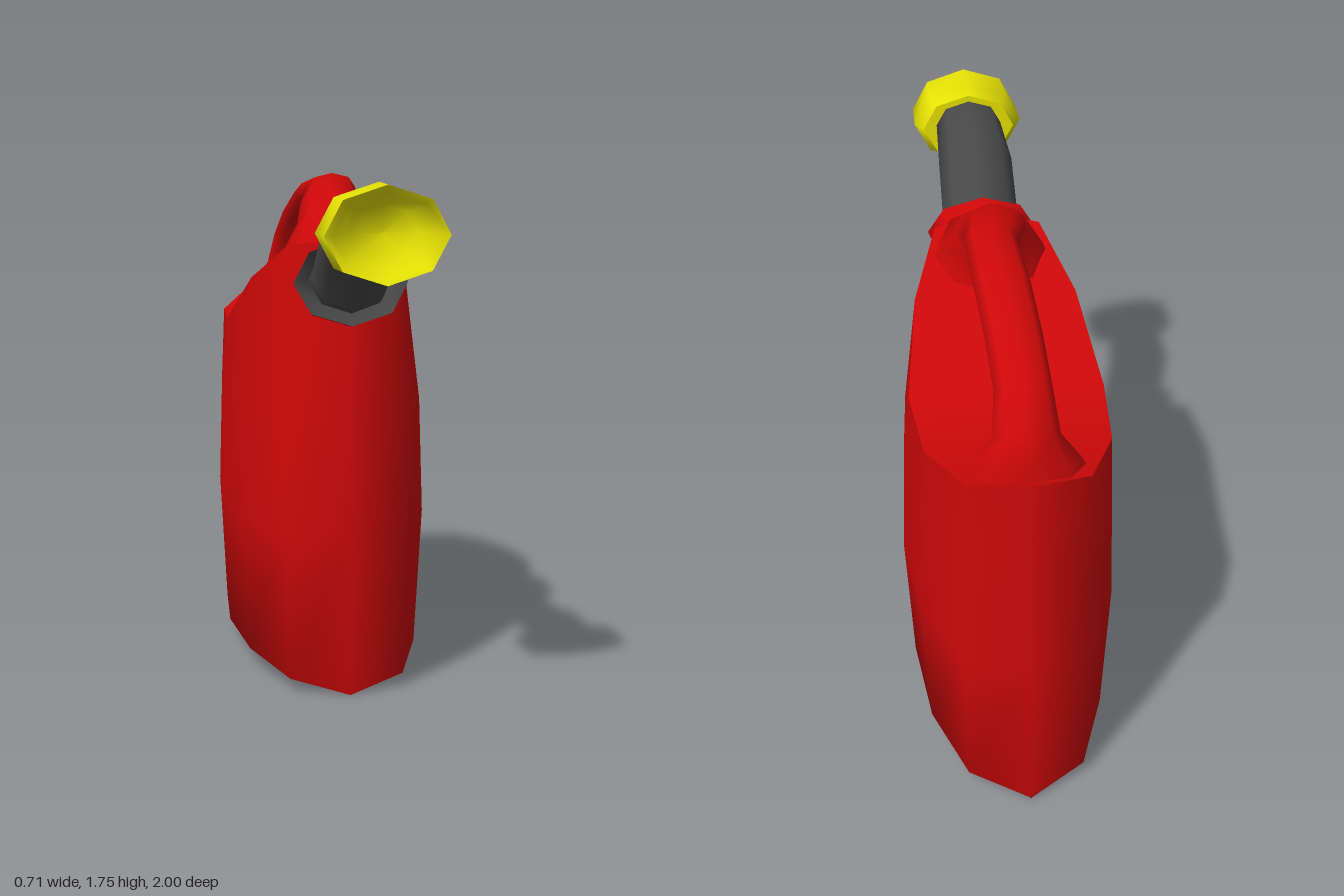
import * as THREE from 'three';

const material = (name, color) => {
  const m = new THREE.MeshStandardMaterial({ color });
  m.name = name;
  return m;
};
const V = (x, y, z) => new THREE.Vector3(x, y, z);

function toGeometry(points, index) {
  const g = new THREE.BufferGeometry().setFromPoints(points);
  g.setIndex(index);
  g.computeVertexNormals();
  return g;
}

// Smooth skin through rings that turn right-handed about the direction of travel
function loft(rings) {
  const n = rings[0].length, index = [];
  for (let i = 0; i < rings.length - 1; i++) {
    for (let j = 0; j < n; j++) {
      const a = i * n + j, b = i * n + (j + 1) % n;
      index.push(a, b, b + n, a, b + n, a + n);
    }
  }
  return toGeometry(rings.flat(), index);
}

// Eight-sided ring facing +z, tilted back by "lean"
function spoutRing([z, y, rx, ry, lean = 0]) {
  return Array.from({ length: 8 }, (_, j) => {
    const a = j / 8 * Math.PI * 2;
    return V(rx * Math.cos(a), y + ry * Math.sin(a), z - lean * Math.sin(a));
  });
}

export function createModel() {
  const model = new THREE.Group();
  const red = material('red plastic', 0xcd0808);
  const dark = material('dark grey rubber', 0x484848);
  const yellow = material('yellow plastic', 0xe6e205);
  const add = (name, geometry, mat) => {
    const mesh = new THREE.Mesh(geometry, mat);
    mesh.name = name;
    model.add(mesh);
  };

  // Tank outline: x, z, bottom lift, rim height, rim x (front to back, then mirrored)
  const half = [
    [0, 1, 0, 1.53, 0], [0.6, 0.9, 0.045, 1.51, 0.18], [0.91, 0.5, 0.07, 1.38, 0.272],
    [1, 0, 0.075, 1.2, 0.322], [0.91, -0.48, 0.07, 1.2, 0.298], [0.6, -0.86, 0.05, 1.24, 0.195],
    [0, -1, 0.01, 1.28, 0],
  ];
  const mirrored = half.slice(1, 6).reverse()
    .map(([x, w, low, rim, rimX]) => [-x, w, low, rim, -rimX]);
  const outline = [...half, ...mirrored];
  // One level of the tank: width and height rules, front z, back z
  const level = (width, zf, zb, height) => outline.map(([x, w, low, rim, rimX]) =>
    V(width(x, rimX), height(low, rim), (zf + zb) / 2 + w * (zf - zb) / 2));
  const rim = level((x, rimX) => rimX, 0.3, -0.95, (low, top) => top);
  // The underside folds along a keel in the middle
  add('tank', loft([
    level(() => 0, 0.42, -1, () => 0.004),
    level(x => x * 0.325, 0.42, -1, low => low),
    level(x => x * 0.353, 0.42, -0.98, () => 0.55),
    level(x => x * 0.342, 0.39, -0.95, () => 0.95),
    rim,
  ]), red);

  // Sloping tank top, in strips from side to side
  const strips = [];
  for (let k = 0; k < 6; k++) {
    const l = (12 - k) % 12, l2 = 11 - k;
    if (k > 0) strips.push(k, k + 1, l);
    if (k < 5) strips.push(l, k + 1, l2);
  }
  add('tankTop', toGeometry(rim, strips), red);

  // Arched handle, slightly skewed: outer z, y, inner z, y, half width, x shift
  const handle = [
    [0.28, 1.44, 0, 1.3, 0.22, 0], [0.28, 1.56, 0, 1.41, 0.18, 0],
    [0.15, 1.64, 0.015, 1.5, 0.125, 0], [0.03, 1.705, -0.04, 1.57, 0.1, 0],
    [-0.15, 1.73, -0.17, 1.63, 0.085, 0.035], [-0.38, 1.695, -0.36, 1.61, 0.09, 0.025],
    [-0.58, 1.62, -0.54, 1.52, 0.09, 0.01], [-0.76, 1.52, -0.67, 1.43, 0.09, 0],
    [-0.88, 1.4, -0.72, 1.32, 0.105, 0], [-0.89, 1.28, -0.69, 1.25, 0.17, 0],
    [-0.91, 1.18, -0.64, 1.18, 0.21, 0],
  ].map(([oz, oy, iz, iy, w, x]) => Array.from({ length: 8 }, (_, j) => {
    const c = Math.cos(j / 4 * Math.PI), s = Math.sin(j / 4 * Math.PI);
    return V(x + w * s, (oy + iy) / 2 + c * (oy - iy) / 2, (oz + iz) / 2 + c * (oz - iz) / 2);
  }));
  add('handle', loft(handle), red);

  // Collar, lined by the dark funnel that the spout grows from
  const collarEnd = spoutRing([0.41, 1.4, 0.19, 0.14, 0.03]);
  const spoutBase = spoutRing([0.37, 1.405, 0.135, 0.105, 0.05]);
  add('collar', loft([spoutRing([0.25, 1.36, 0.15, 0.115, 0.04]), collarEnd]), red);
  add('spoutFlange', loft([collarEnd, spoutBase]), dark);

  // Bent spout
  add('spout', loft([spoutBase, ...[
    [0.43, 1.425, 0.133, 0.105, 0.05], [0.6, 1.575, 0.13, 0.105], [0.86, 1.615, 0.115, 0.085],
  ].map(spoutRing)]), dark);

  // Sprinkler head: closed back, side wall and hollow front
  const back = spoutRing([0.825, 1.595, 0.165, 0.125]);
  const lip = spoutRing([1, 1.597, 0.19, 0.148]);
  add('headBack', loft([spoutRing([0.825, 1.595, 0, 0]), back]), yellow);
  add('headWall', loft([back, spoutRing([0.865, 1.597, 0.195, 0.15]), lip]), yellow);
  add('headHollow', loft([lip, ...[
    [0.985, 1.597, 0.165, 0.128], [0.93, 1.6, 0.11, 0.085], [0.92, 1.6, 0, 0],
  ].map(spoutRing)]), yellow);

  return model;
}
